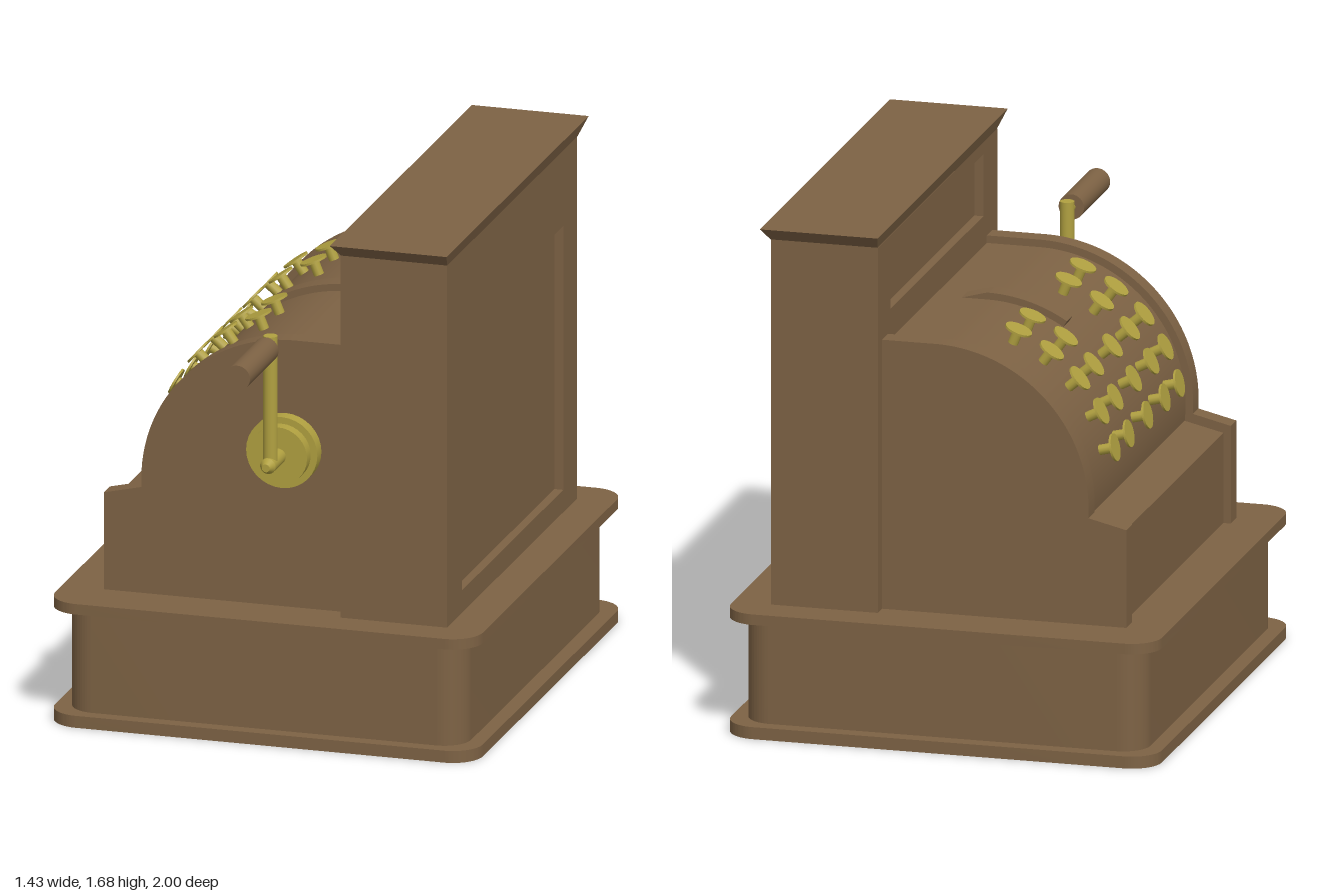
import * as THREE from 'three';
import { toCreasedNormals } from 'three/addons/utils/BufferGeometryUtils.js';

const wood = new THREE.MeshStandardMaterial({ color: 0x7d6244 });
const brass = new THREE.MeshStandardMaterial({ color: 0xb0a040 });

// Barrel centre (x, y) and outer radius of the curved cheeks
const CX = 0.06, CY = 0.8, R = 0.51;

function add(parent, name, geometry, material, x = 0, y = 0, z = 0) {
  const mesh = new THREE.Mesh(geometry, material);
  mesh.name = name;
  mesh.position.set(x, y, z);
  parent.add(mesh);
  return mesh;
}

function extrude(shape, depth) {
  const g = new THREE.ExtrudeGeometry(shape, { depth, bevelEnabled: false, curveSegments: 24 });
  return toCreasedNormals(g, 0.5);
}

// Horizontal slab with rounded corners, its base at y = 0
function roundedSlab(w, d, r, h) {
  const s = new THREE.Shape(), x = w / 2, z = d / 2;
  s.absarc(x - r, z - r, r, 0, Math.PI / 2);
  s.absarc(-x + r, z - r, r, Math.PI / 2, Math.PI);
  s.absarc(-x + r, -z + r, r, Math.PI, Math.PI * 1.5);
  s.absarc(x - r, -z + r, r, Math.PI * 1.5, Math.PI * 2);
  return extrude(s, h).rotateX(-Math.PI / 2);
}

// Side outline of the body, shrunk by an inset
function bodyProfile(i) {
  const r = R - i, s = new THREE.Shape();
  s.moveTo(0.235, 0.415);
  s.lineTo(-0.575 + i, 0.415);
  s.lineTo(-0.575 + i, 0.74 - i);
  s.absarc(CX, CY, r, Math.PI + Math.asin((0.03 + i) / r), Math.PI / 2, true);
  s.lineTo(0.235, CY + r);
  return s;
}

// Upright board in the z-y plane with a rectangular opening
function panelFrame(y0, y1) {
  const s = new THREE.Shape();
  s.moveTo(-0.535, 0.415);
  s.lineTo(0.875, 0.415);
  s.lineTo(0.875, 1.63);
  s.lineTo(-0.535, 1.63);
  const h = new THREE.Path();
  h.moveTo(-0.37, y0);
  h.lineTo(-0.37, y1);
  h.lineTo(0.725, y1);
  h.lineTo(0.725, y0);
  s.holes.push(h);
  return extrude(s, 0.03).rotateY(Math.PI / 2);
}

// Cylinder lying along z from z0 to z1
function rod(parent, name, r, z0, z1, material, x, y) {
  const g = new THREE.CylinderGeometry(r, r, z1 - z0, 32).rotateX(Math.PI / 2);
  return add(parent, name, g, material, x, y, (z0 + z1) / 2);
}

export function createModel() {
  const model = new THREE.Group();

  // Plinth
  const base = new THREE.Group();
  base.name = 'base';
  model.add(base);
  add(base, 'bottomPlate', roundedSlab(1.43, 1.65, 0.1, 0.04), wood, 0, 0, -0.175);
  add(base, 'drawerBox', roundedSlab(1.33, 1.555, 0.09, 0.34), wood, 0, 0.04, -0.1725);
  add(base, 'topPlate', roundedSlab(1.43, 1.65, 0.1, 0.035), wood, 0, 0.38, -0.175);

  // Body: curved barrel between two cheeks
  add(model, 'barrel', extrude(bodyProfile(0.025), 1.165), wood, 0, 0, -0.755);
  add(model, 'rightCheek', extrude(bodyProfile(0), 0.065), wood, 0, 0, 0.41);
  add(model, 'leftCheek', extrude(bodyProfile(0), 0.07), wood, 0, 0, -0.825);

  // Raised strip between the key columns
  const strip = new THREE.Shape(), a = 2.12;
  strip.moveTo(0.235, CY + 0.508);
  strip.absarc(CX, CY, 0.508, Math.PI / 2, a, false);
  strip.absarc(CX, CY, 0.46, a, Math.PI / 2, true);
  strip.lineTo(0.235, CY + 0.46);
  add(model, 'dividerStrip', extrude(strip, 0.07), wood, 0, 0, -0.21);

  // Tower with a sunk panel on each broad face
  const tower = new THREE.Group();
  tower.name = 'tower';
  model.add(tower);
  add(tower, 'core', new THREE.BoxGeometry(0.295, 1.215, 1.41), wood, 0.4125, 1.0225, -0.17);
  add(tower, 'displayFrame', panelFrame(1.385, 1.59), wood, 0.235);
  add(tower, 'backFrame', panelFrame(0.49, 1.375), wood, 0.56);

  // Flared cap
  const cap = new THREE.BoxGeometry(0.39, 0.05, 1.54);
  const p = cap.attributes.position;
  for (let i = 0; i < p.count; i++) {
    if (p.getY(i) < 0) p.setXYZ(i, p.getX(i) * 0.91, p.getY(i), p.getZ(i) * 0.916);
  }
  cap.computeVertexNormals();
  add(tower, 'cap', cap, wood, 0.4135, 1.655, -0.17);

  // Keys: columns along z, rows around the barrel
  const keys = new THREE.Group();
  keys.name = 'keys';
  model.add(keys);
  for (const z of [0.21, 0.04, -0.165, -0.385, -0.55]) {
    const rows = z === -0.165 ? 3 : 5;
    for (let i = 0; i < rows; i++) {
      const key = new THREE.Group();
      key.name = 'key';
      key.position.set(CX, CY, z);
      key.rotation.z = THREE.MathUtils.degToRad(76 - i * 13.5);
      add(key, 'stem', new THREE.CylinderGeometry(0.017, 0.017, 0.07, 12), brass, 0, 0.5, 0);
      add(key, 'button', new THREE.CylinderGeometry(0.045, 0.045, 0.007, 24), brass, 0, 0.535, 0);
      keys.add(key);
    }
  }

  // Crank
  const crank = new THREE.Group();
  crank.name = 'crank';
  model.add(crank);
  const x = 0.033, y = 0.945;
  rod(crank, 'flange', 0.119, 0.475, 0.52, brass, x, y);
  rod(crank, 'flangeStep', 0.097, 0.52, 0.56, brass, x, y);
  rod(crank, 'shaft', 0.026, 0.56, 0.67, brass, x, y);
  add(crank, 'shaftTip', new THREE.CylinderGeometry(0.013, 0.026, 0.023, 24).rotateX(Math.PI / 2), brass, x, y, 0.6815);
  add(crank, 'arm', new THREE.CylinderGeometry(0.023, 0.023, 0.43, 24), brass, x, 1.16, 0.642);
  rod(crank, 'handlePin', 0.014, 0.645, 0.7, brass, x, 1.342);
  rod(crank, 'handle', 0.042, 0.69, 1.0, wood, x, 1.342);

  return model;
}
